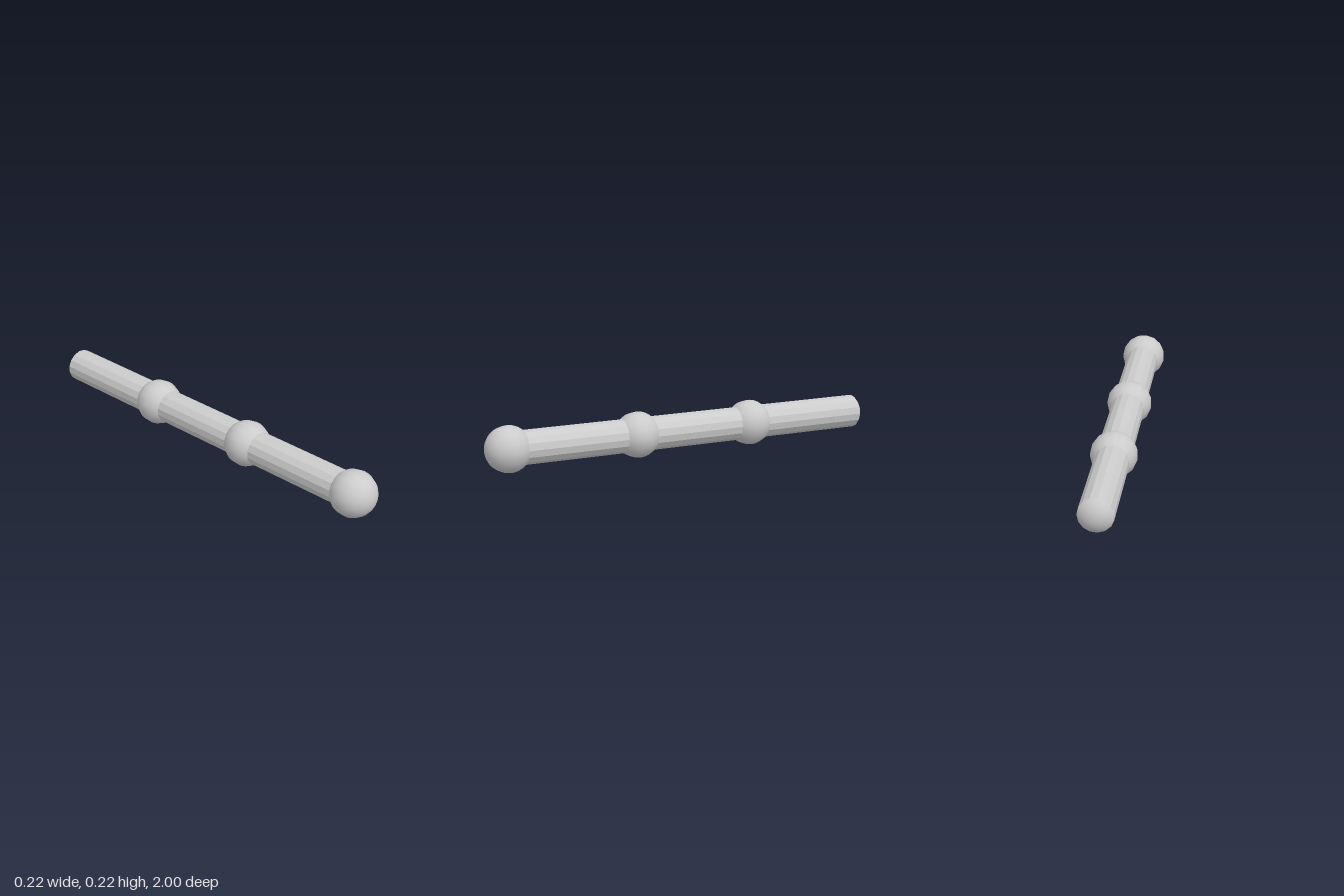
import * as THREE from 'three';

const SIDES = 15;
const BALL = 0.1115;   // ball radius
const ROD = 0.082;     // rod radius
const HALF = Math.sqrt(BALL * BALL - ROD * ROD); // where rod meets ball, from the ball centre
const MEET = Math.asin(ROD / BALL);

export function createModel() {
  const group = new THREE.Group();
  const smooth = new THREE.MeshStandardMaterial({ color: 0xcccccc });
  const faceted = new THREE.MeshStandardMaterial({ color: 0xcccccc, flatShading: true });

  // Turn a profile around the z axis, with a corner pointing to +x
  function turn(name, points, material, z) {
    const geometry = new THREE.LatheGeometry(points, SIDES, Math.PI / 2);
    geometry.rotateX(Math.PI / 2);
    const mesh = new THREE.Mesh(geometry, material);
    mesh.name = name;
    mesh.position.set(-0.001, 0.111, z);
    group.add(mesh);
  }

  // Part of a ball, between two angles measured from its back pole
  function ballPart(name, z, from, to, steps) {
    const points = [];
    for (let i = 0; i <= steps; i++) {
      const a = from + (to - from) * i / steps;
      points.push(new THREE.Vector2(Math.max(0, BALL * Math.sin(a)), -BALL * Math.cos(a)));
    }
    turn(name, points, smooth, z);
  }

  // Ball centres from back to front; the rearmost shows only its end cap
  const centres = [-0.8885, -0.365, 0.24, 0.8885];
  ballPart('backCap', centres[0], 0, MEET, 8);
  ballPart('backJoint', centres[1], MEET, Math.PI - MEET, 14);
  ballPart('middleJoint', centres[2], MEET, Math.PI - MEET, 14);
  ballPart('frontBall', centres[3], MEET, Math.PI, 22);

  // Faceted rod sections between the balls
  ['backRod', 'middleRod', 'frontRod'].forEach((name, i) => {
    const start = i === 0 ? centres[0] - HALF : centres[i] + HALF;
    const end = centres[i + 1] - HALF;
    turn(name, [new THREE.Vector2(ROD, start), new THREE.Vector2(ROD, end)], faceted, 0);
  });

  return group;
}
